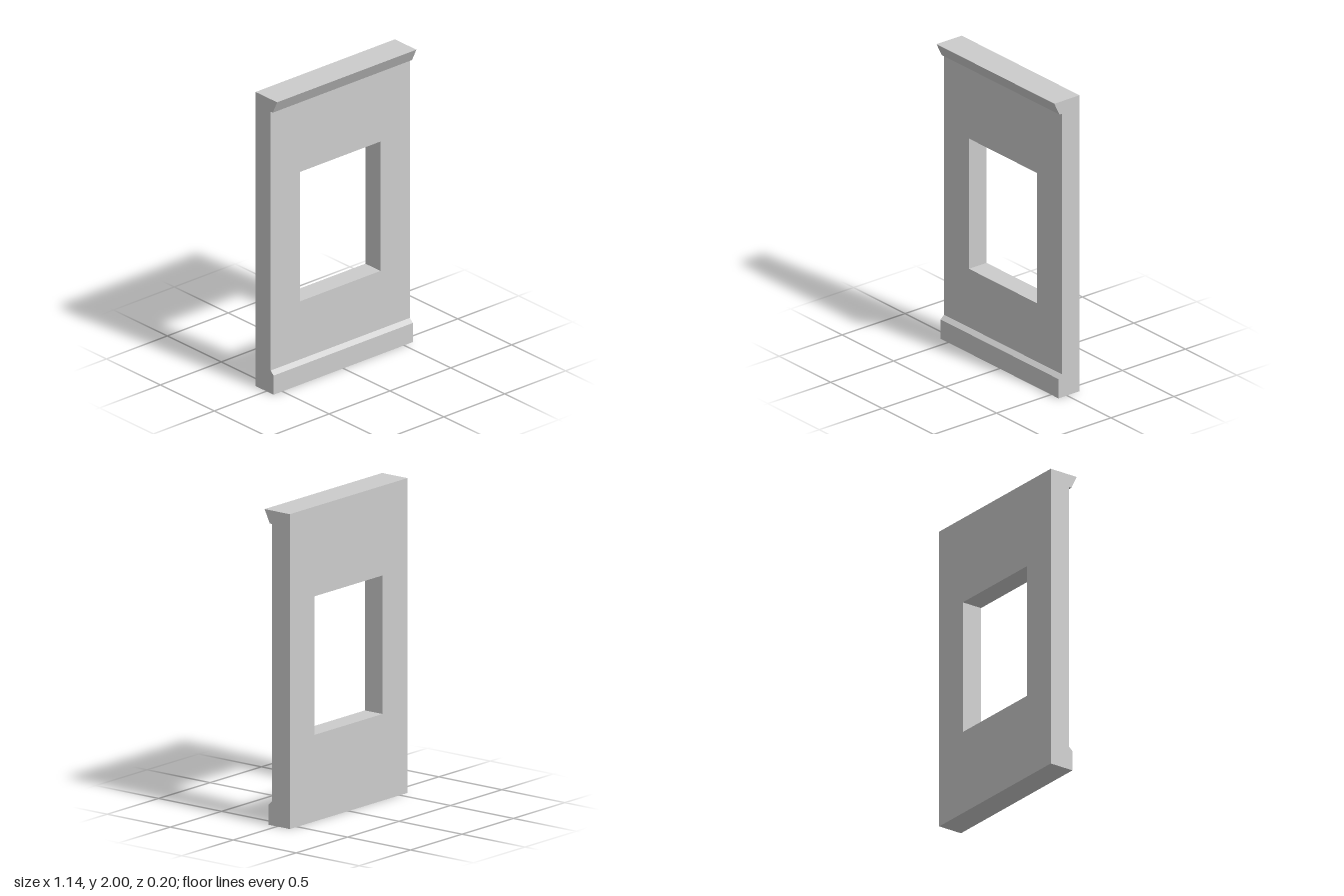
import * as THREE from 'three';

const WIDTH = 1.144, HEIGHT = 2, BACK = -0.1, FRONT = 0.04;

export function createModel() {
  const model = new THREE.Group();
  model.name = 'windowWallPanel';
  const material = new THREE.MeshStandardMaterial({ color: 0xcccccc, flatShading: true });

  const add = (name, geometry) => {
    const mesh = new THREE.Mesh(geometry, material);
    mesh.name = name;
    model.add(mesh);
  };

  const polygon = (points) => new THREE.Shape(points.map(([x, y]) => new THREE.Vector2(x, y)));
  const rectangle = (x0, y0, x1, y1) => polygon([[x0, y0], [x1, y0], [x1, y1], [x0, y1]]);

  // Full-width moulding from a (z, y) profile
  const moulding = (name, points) => {
    const geometry = new THREE.ExtrudeGeometry(polygon(points), { depth: WIDTH, bevelEnabled: false });
    geometry.rotateY(-Math.PI / 2);
    geometry.translate(WIDTH / 2, 0, 0);
    add(name, geometry);
  };

  // Wall slab with the window opening
  const wall = rectangle(-WIDTH / 2, 0, WIDTH / 2, HEIGHT);
  wall.holes.push(rectangle(-0.33, 0.55, 0.33, 1.43));
  const slab = new THREE.ExtrudeGeometry(wall, { depth: FRONT - BACK, bevelEnabled: false });
  slab.translate(0, 0, BACK);
  add('wall', slab);

  // Chamfered plinth along the foot of the front
  moulding('plinth', [[FRONT, 0], [0.067, 0], [0.067, 0.13], [FRONT, 0.155]]);

  // Sloping cornice along the top of the front
  moulding('cornice', [[FRONT, 1.915], [0.059, 1.915], [0.1, HEIGHT], [FRONT, HEIGHT]]);

  return model;
}
